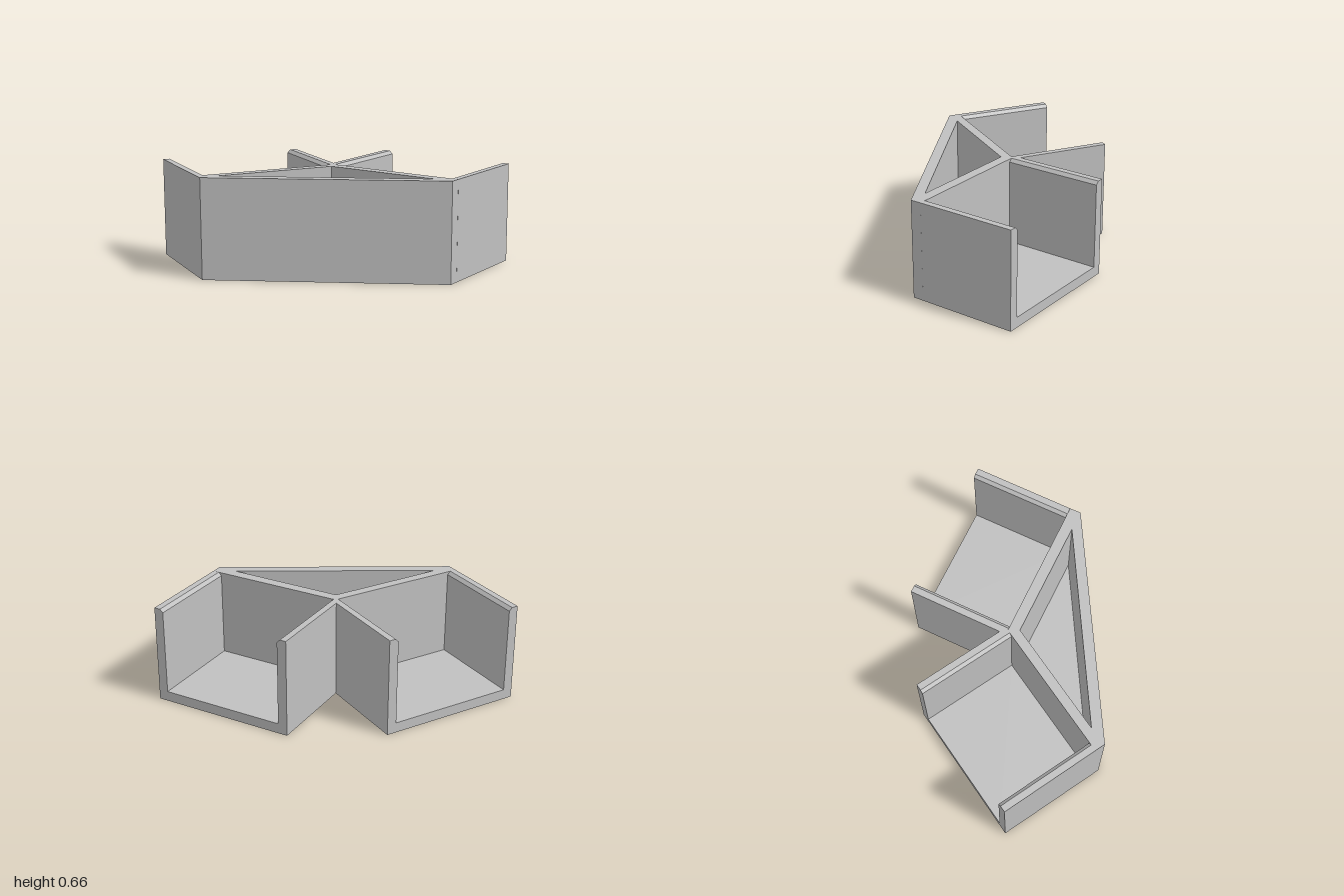
import * as THREE from 'three';

const HEIGHT = 0.657, FLOOR = 0.068;
const HALF = 0.485;    // half width of a bay
const WALL = 0.064;    // side wall thickness
const CHAMFER = 0.021; // bevel along the inner top edge of the side walls
const DEPTH = 0.67;    // length of a bay

// Closed polygon from [x, y] pairs
const polygon = (points) => points.map(([x, y]) => new THREE.Vector2(x, y));

// Polygon given in plan as [x, z]; laid flat when extruded with flat()
const plan = (points) => polygon(points.map(([x, z]) => [x, -z]));

function flat(shape, bottom, top) {
  const geometry = new THREE.ExtrudeGeometry(shape, { depth: top - bottom, bevelEnabled: false });
  return geometry.rotateX(-Math.PI / 2).translate(0, bottom, 0);
}

export function createModel() {
  const model = new THREE.Group();
  const grey = new THREE.MeshStandardMaterial({ color: 0xc0c0c0 });
  grey.name = 'grey';

  const add = (name, geometry) => {
    const mesh = new THREE.Mesh(geometry, grey);
    mesh.name = name;
    model.add(mesh);
    return mesh;
  };

  // Wedge-shaped core: closed floor, and walls around a triangular pocket
  const outline = plan([
    [-1, -0.02], [0.355, 0.76], [0.418, 0.722],
    [-0.067, -0.118], [-0.067, -0.092], [-1, -0.092],
  ]);
  add('coreFloor', flat(new THREE.Shape(outline), 0, FLOOR));
  const ring = new THREE.Shape(outline);
  ring.holes.push(new THREE.Path(plan([[-0.87, -0.028], [-0.095, -0.028], [0.29, 0.645]])));
  add('coreWalls', flat(ring, FLOOR, HEIGHT));

  // Two open-ended bays with a U section, set 60 degrees apart
  const inner = HALF - WALL;
  const section = new THREE.Shape(polygon([
    [-HALF, 0], [HALF, 0], [HALF, HEIGHT],
    [inner + CHAMFER, HEIGHT], [inner, HEIGHT - CHAMFER], [inner, FLOOR],
    [-inner, FLOOR], [-inner, HEIGHT - CHAMFER], [-inner - CHAMFER, HEIGHT],
    [-HALF, HEIGHT],
  ]));
  const bayGeometry = new THREE.ExtrudeGeometry(section, { depth: DEPTH, bevelEnabled: false });
  const bays = [
    ['rightBay', -0.515, -0.092, Math.PI],
    ['leftBay', 0.176, 0.302, Math.PI * 2 / 3],
  ];
  for (const [name, x, z, angle] of bays) {
    const bay = add(name, bayGeometry);
    bay.position.set(x, 0, z);
    bay.rotation.y = angle;
  }
  return model;
}
